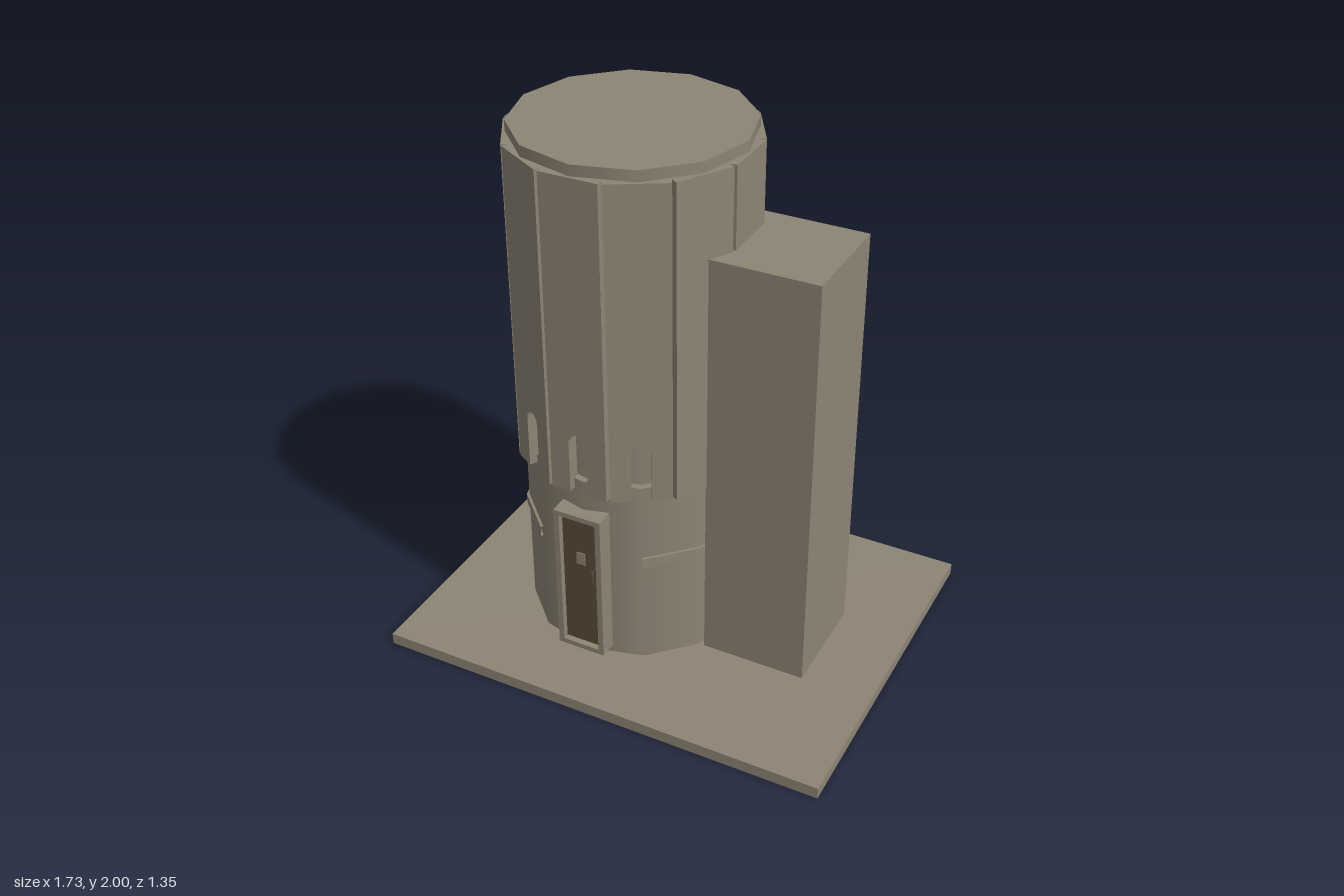
import * as THREE from 'three';
import { toCreasedNormals } from 'three/addons/utils/BufferGeometryUtils.js';

export function createModel() {
  const stone = new THREE.MeshStandardMaterial({ color: 0x8d8474 });
  const wood = new THREE.MeshStandardMaterial({ color: 0x5a4a38 });
  stone.name = 'stone';
  wood.name = 'wood';
  const stoneOpen = stone;
  stoneOpen.side = THREE.DoubleSide;

  const model = new THREE.Group();
  model.name = 'tower';

  const add = (parent, name, geometry, material, x = 0, y = 0, z = 0) => {
    const mesh = new THREE.Mesh(geometry, material);
    mesh.name = name;
    mesh.position.set(x, y, z);
    parent.add(mesh);
    return mesh;
  };
  const box = (parent, name, material, x0, x1, y0, y1, z0, z1) =>
    add(parent, name, new THREE.BoxGeometry(x1 - x0, y1 - y0, z1 - z0), material,
      (x0 + x1) / 2, (y0 + y1) / 2, (z0 + z1) / 2);

  // Ground slab and side shaft
  box(model, 'baseSlab', stone, -0.865, 0.865, 0, 0.045, -0.677, 0.677);
  box(model, 'sideShaft', stone, 0.205, 0.6, 0.04, 1.66, -0.203, 0.203);

  // Round tower, modelled around its own axis
  const tower = new THREE.Group();
  tower.name = 'roundTower';
  tower.position.x = -0.172;
  model.add(tower);

  const drum = (name, r, y0, y1) =>
    add(tower, name, new THREE.CylinderGeometry(r, r, y1 - y0, 12), stone, 0, (y0 + y1) / 2, 0);
  drum('lowerDrum', 0.41, 0.04, 0.8);
  drum('upperCore', 0.385, 0.79, 1.96);
  drum('roofCap', 0.42, 1.95, 2.0);

  // Belt around the lower drum, broken at the door
  const beltProfile = [[0.4, 0.46], [0.42, 0.46], [0.42, 0.5], [0.4, 0.5]]
    .map(([r, y]) => new THREE.Vector2(r, y));
  const belt = new THREE.LatheGeometry(beltProfile, 10, Math.PI / 6, Math.PI * 10 / 6);
  add(tower, 'belt', toCreasedNormals(belt, Math.PI / 4), stoneOpen);

  // Twelve facade panels; the four at the front have arched openings
  const depth = 0.05, half = 0.108, bottom = 0.76, top = 1.96;
  const panelGeometry = (arched) => {
    const s = new THREE.Shape();
    s.moveTo(-half, bottom);
    if (arched) {
      s.lineTo(-0.035, bottom);
      s.lineTo(-0.035, 0.965);
      s.absarc(0, 0.965, 0.035, Math.PI, 0, true);
      s.lineTo(0.035, bottom);
    }
    s.lineTo(half, bottom);
    s.lineTo(half, top);
    s.lineTo(-half, top);
    s.closePath();
    return new THREE.ExtrudeGeometry(s, { depth, bevelEnabled: false, curveSegments: 10 });
  };
  const plain = panelGeometry(false), arched = panelGeometry(true);
  for (let i = 0; i < 12; i++) {
    const hasArch = [0, 1, 10, 11].includes(i);
    const a = i * Math.PI / 6, r = 0.43 - depth;
    const panel = add(tower, hasArch ? 'archedPanel' : 'panel', hasArch ? arched : plain, stone,
      Math.sin(a) * r, 0, Math.cos(a) * r);
    panel.rotation.y = a;
  }

  // Door with a projecting frame
  const door = new THREE.Group();
  door.name = 'door';
  door.position.x = -0.172;
  model.add(door);
  const rect = (target, w, y0, y1) => {
    target.moveTo(-w, y0);
    target.lineTo(w, y0);
    target.lineTo(w, y1);
    target.lineTo(-w, y1);
    target.closePath();
    return target;
  };
  const frame = rect(new THREE.Shape(), 0.093, 0.08, 0.68);
  frame.holes.push(rect(new THREE.Path(), 0.072, 0.1, 0.66));
  add(door, 'doorFrame', new THREE.ExtrudeGeometry(frame, { depth: 0.07, bevelEnabled: false }),
    stone, 0, 0, 0.388);
  box(door, 'doorLeaf', wood, -0.073, 0.073, 0.099, 0.661, 0.39, 0.435);
  box(door, 'peephole', stone, -0.017, 0.017, 0.455, 0.505, 0.434, 0.439);
  box(door, 'doorHandle', wood, 0.044, 0.05, 0.39, 0.44, 0.43, 0.447);

  return model;
}
